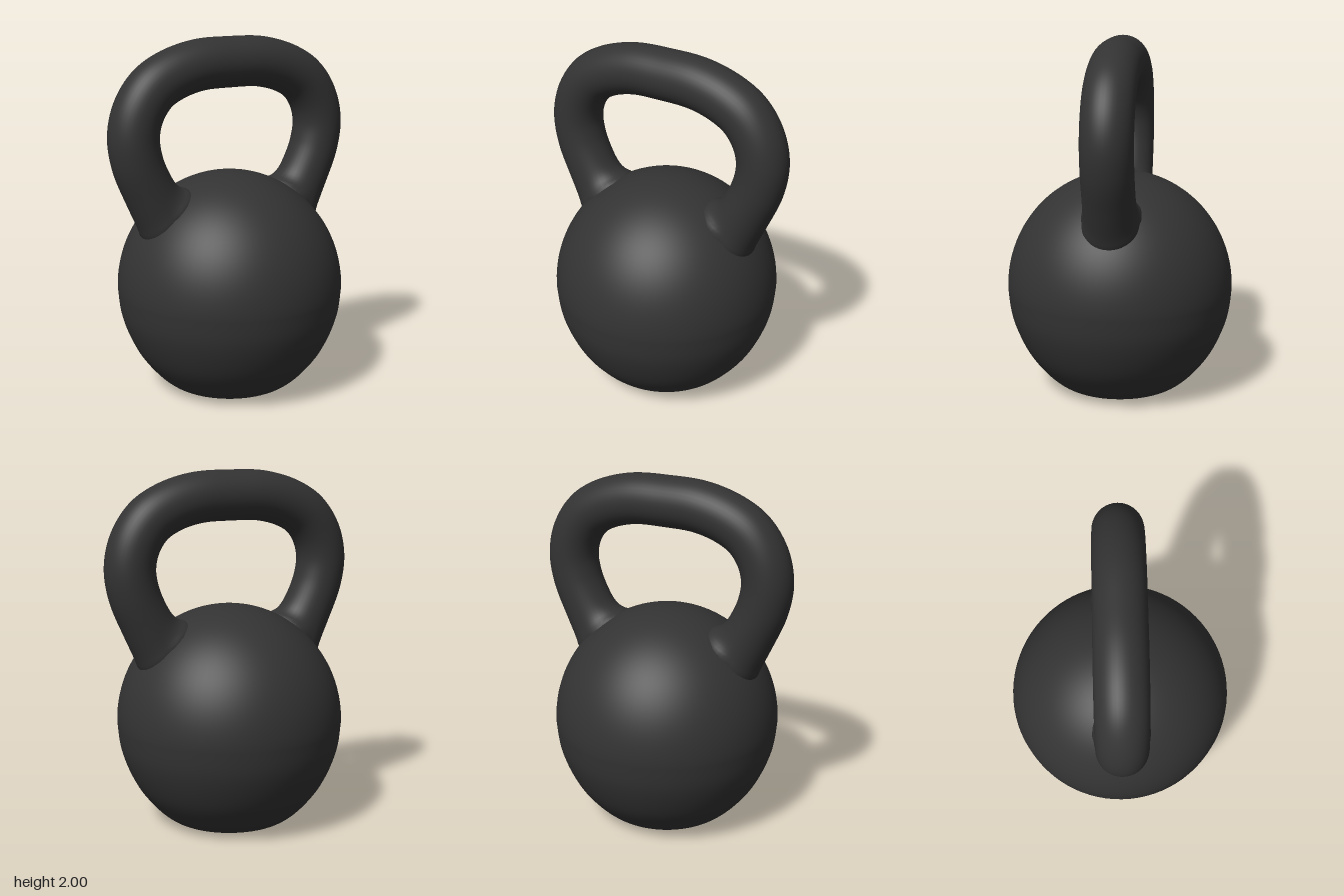
import * as THREE from 'three';
import { mergeVertices } from 'three/addons/utils/BufferGeometryUtils.js';

const BALL = { r: 0.64, y: 0.59, h: 0.66 };

export function createModel() {
  const model = new THREE.Group();
  model.name = 'kettlebell';
  const iron = new THREE.MeshStandardMaterial({ color: 0x333333 });
  iron.name = 'black iron';

  // Ball: rounded foot, then an almost spherical upper half
  const foot = new THREE.SplineCurve([
    [0.27, 0.003], [0.335, 0.018], [0.40, 0.062], [0.47, 0.135], [0.535, 0.225],
    [0.59, 0.34], [0.625, 0.455], [BALL.r, BALL.y],
  ].map(([x, y]) => new THREE.Vector2(x, y))).getPoints(28);
  const profile = [new THREE.Vector2(0, 0), new THREE.Vector2(0.25, 0), ...foot];
  for (let i = 1; i <= 28; i++) {
    const a = (i / 28) * Math.PI / 2;
    profile.push(new THREE.Vector2(i === 28 ? 0 : BALL.r * Math.cos(a), BALL.y + BALL.h * Math.sin(a)));
  }
  const ball = new THREE.Mesh(new THREE.LatheGeometry(profile, 80), iron);
  ball.name = 'ball';
  model.add(ball);

  // Handle: mirrored centre line swept as a round bar
  const half = [
    [0.2, 1.852], [0.37, 1.805], [0.485, 1.735], [0.565, 1.62], [0.595, 1.49],
    [0.575, 1.35], [0.51, 1.19], [0.44, 1.05], [0.34, 0.9],
  ];
  const path = new THREE.CatmullRomCurve3([
    ...[...half].reverse().map(([x, y]) => new THREE.Vector3(-x, y, 0)),
    new THREE.Vector3(0, 1.86, 0),
    ...half.map(([x, y]) => new THREE.Vector3(x, y, 0)),
  ]);
  const bar = new THREE.TubeGeometry(path, 160, 0.14, 40);

  // Flare the bar where it meets the ball, most on the inner side
  const pos = bar.attributes.position, nor = bar.attributes.normal;
  const p = new THREE.Vector3(), n = new THREE.Vector3();
  for (let i = 0; i < pos.count; i++) {
    p.fromBufferAttribute(pos, i);
    n.fromBufferAttribute(nor, i);
    const gap = (Math.hypot(p.x / BALL.r, (p.y - BALL.y) / BALL.h, p.z / BALL.r) - 1) * BALL.r;
    const inward = Math.max(0, -n.x * Math.sign(p.x));
    const flare = (0.015 + 0.06 * inward) * Math.exp(-Math.max(0, gap) / 0.045);
    p.addScaledVector(n, flare);
    pos.setXYZ(i, p.x, p.y, p.z);
  }
  bar.deleteAttribute('uv');
  bar.deleteAttribute('normal');
  const smoothBar = mergeVertices(bar, 1e-5);
  smoothBar.computeVertexNormals();
  const handle = new THREE.Mesh(smoothBar, iron);
  handle.name = 'handle';
  model.add(handle);

  return model;
}
